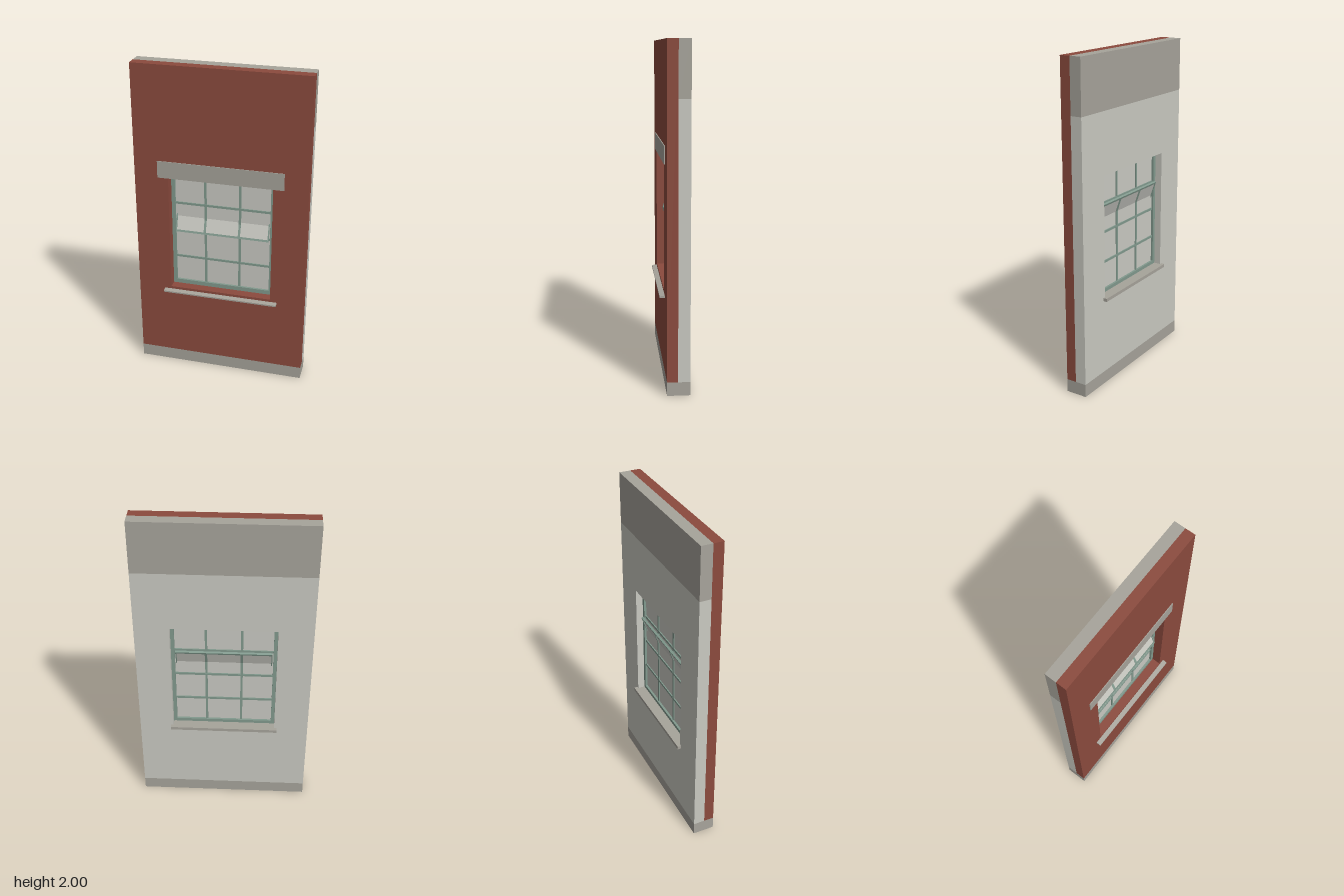
import * as THREE from 'three';

const mat = (name, color) => {
  const m = new THREE.MeshStandardMaterial({ color });
  m.name = name;
  return m;
};

export function createModel() {
  const brick = mat('brick', 0x8c4b3e);
  const stone = mat('stone', 0xa7a49b);
  const plaster = mat('plaster', 0xcacac2);
  const glass = mat('glass', 0xcacac3);
  const paint = mat('greenPaint', 0x829a8e);

  const model = new THREE.Group();
  model.name = 'wallWithWindow';

  const add = (parent, name, geometry, material) => {
    const mesh = new THREE.Mesh(geometry, material);
    mesh.name = name;
    parent.add(mesh);
    return mesh;
  };
  // Box given by its limits on each axis
  const box = (parent, name, material, x0, x1, y0, y1, z0, z1) => {
    const mesh = add(parent, name, new THREE.BoxGeometry(x1 - x0, y1 - y0, z1 - z0), material);
    mesh.position.set((x0 + x1) / 2, (y0 + y1) / 2, (z0 + z1) / 2);
    return mesh;
  };
  const rect = (Type, x0, x1, y0, y1) => new Type([
    new THREE.Vector2(x0, y0), new THREE.Vector2(x1, y0),
    new THREE.Vector2(x1, y1), new THREE.Vector2(x0, y1),
  ]);
  // Upright slab with a rectangular hole
  const slab = (parent, name, material, outer, hole, z0, z1) => {
    const shape = rect(THREE.Shape, ...outer);
    shape.holes.push(rect(THREE.Path, ...hole));
    const geometry = new THREE.ExtrudeGeometry(shape, { depth: z1 - z0, bevelEnabled: false });
    geometry.translate(0, 0, z0);
    return add(parent, name, geometry, material);
  };

  // Wall layers
  const W = 0.53;
  const opening = [-0.32, 0.32, 0.56, 1.31];
  slab(model, 'brickFace', brick, [-W, W, 0.08, 2], opening, 0, 0.063);
  slab(model, 'plasterBacking', plaster, [-W, W, 0.08, 1.68], opening, -0.07, 0);
  box(model, 'basePlinth', stone, -W, W, 0, 0.08, -0.07, 0.063);
  box(model, 'rearTopBeam', stone, -W, W, 1.68, 2, -0.07, 0);

  // Lintel and sills
  box(model, 'lintel', stone, -0.385, 0.385, 1.309, 1.415, 0.001, 0.068);
  const sillProfile = new THREE.Shape([
    new THREE.Vector2(-0.05, 0.53), new THREE.Vector2(-0.093, 0.53),
    new THREE.Vector2(-0.093, 0.539), new THREE.Vector2(-0.05, 0.546),
  ]);
  const sill = new THREE.ExtrudeGeometry(sillProfile, { depth: 0.724, bevelEnabled: false });
  sill.rotateY(Math.PI / 2).translate(-0.362, 0, 0);
  add(model, 'outerSill', sill, stone);
  box(model, 'innerSill', stone, -0.335, 0.335, 0.546, 0.566, -0.093, -0.069);
  box(model, 'innerSillBoard', stone, -0.319, 0.319, 0.55, 0.566, -0.07, -0.02);

  // Fixed window: frame, glass and glazing bars
  const win = new THREE.Group();
  win.name = 'window';
  model.add(win);
  slab(win, 'windowFrame', paint, opening, [-0.298, 0.298, 0.587, 1.29], -0.026, 0.006);
  box(win, 'windowPane', glass, -0.299, 0.299, 0.586, 1.291, -0.012, -0.008);
  const bar = 0.007;
  for (const x of [-0.108, 0.108]) {
    box(win, 'verticalBar', paint, x - bar, x + bar, 0.586, 1.291, -0.018, -0.002);
  }
  for (const y of [0.755, 0.943, 1.123]) {
    box(win, 'horizontalBar', paint, -0.299, 0.299, y - bar, y + bar, -0.019, -0.001);
  }

  // Tilting vent: pivots at mid height, lower edge swung outwards
  const vent = new THREE.Group();
  vent.name = 'tiltingVent';
  vent.position.set(0, 1.033, -0.01);
  vent.rotation.x = -0.33;
  model.add(vent);
  slab(vent, 'ventFrame', paint, [-0.292, 0.292, -0.1, 0.1], [-0.286, 0.286, -0.088, 0.088], -0.007, 0.007);
  box(vent, 'ventPane', glass, -0.287, 0.287, -0.09, 0.09, -0.002, 0.002);
  for (const x of [-0.108, 0.108]) {
    box(vent, 'ventBar', paint, x - bar, x + bar, -0.09, 0.09, -0.006, 0.004);
  }

  return model;
}
